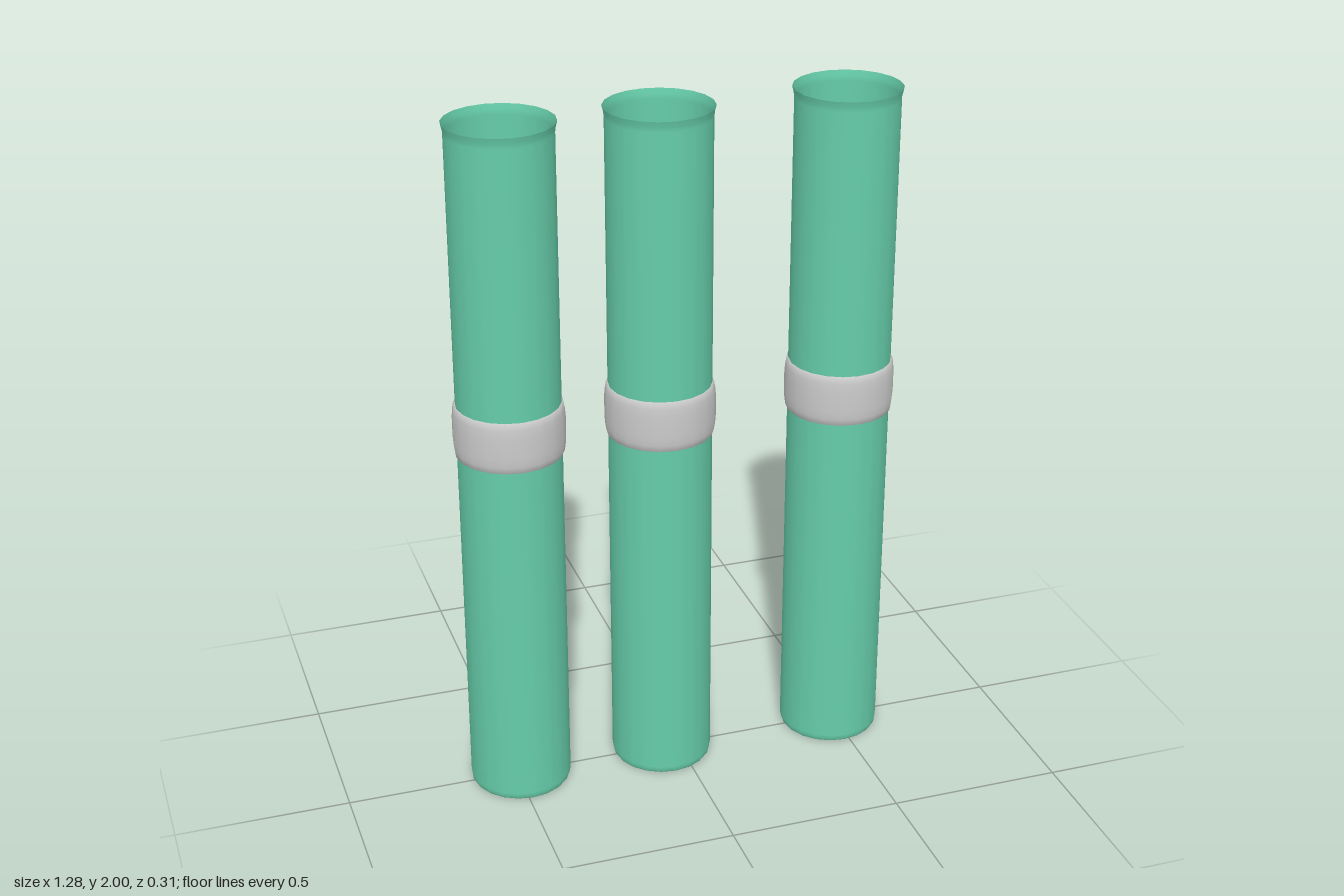
import * as THREE from 'three';

const SIDES = 20;

// Smooth turned part from [radius, height] pairs
function turned(name, points, material) {
  const profile = points.map(([r, y]) => new THREE.Vector2(r, y));
  const mesh = new THREE.Mesh(new THREE.LatheGeometry(profile, SIDES), material);
  mesh.name = name;
  return mesh;
}

export function createModel() {
  const group = new THREE.Group();
  group.name = 'tubes';
  const green = new THREE.MeshStandardMaterial({ color: 0x66cdaa, side: THREE.DoubleSide });
  const grey = new THREE.MeshStandardMaterial({ color: 0xcccccc, side: THREE.DoubleSide });

  [-0.487, -0.052, 0.485].forEach((x) => {
    const tube = new THREE.Group();
    tube.name = 'tube';
    tube.position.x = x;

    // Thin open wall with a softened foot and a slightly flared rim
    tube.add(turned('wall', [
      [0.140, 0], [0.144, 0.006], [0.146, 0.02], [0.146, 1.97], [0.148, 1.985], [0.152, 2],
    ], green));

    // Closed bottom
    const base = new THREE.Mesh(new THREE.CircleGeometry(0.14, SIDES), green);
    base.name = 'base';
    base.rotation.set(Math.PI / 2, 0, Math.PI / 2);
    tube.add(base);

    // Rounded band around the wall
    tube.add(turned('band', [
      [0.144, 1.055], [0.151, 1.057], [0.154, 1.075], [0.156, 1.10],
      [0.156, 1.16], [0.154, 1.185], [0.151, 1.203], [0.144, 1.205],
    ], grey));

    group.add(tube);
  });
  return group;
}
